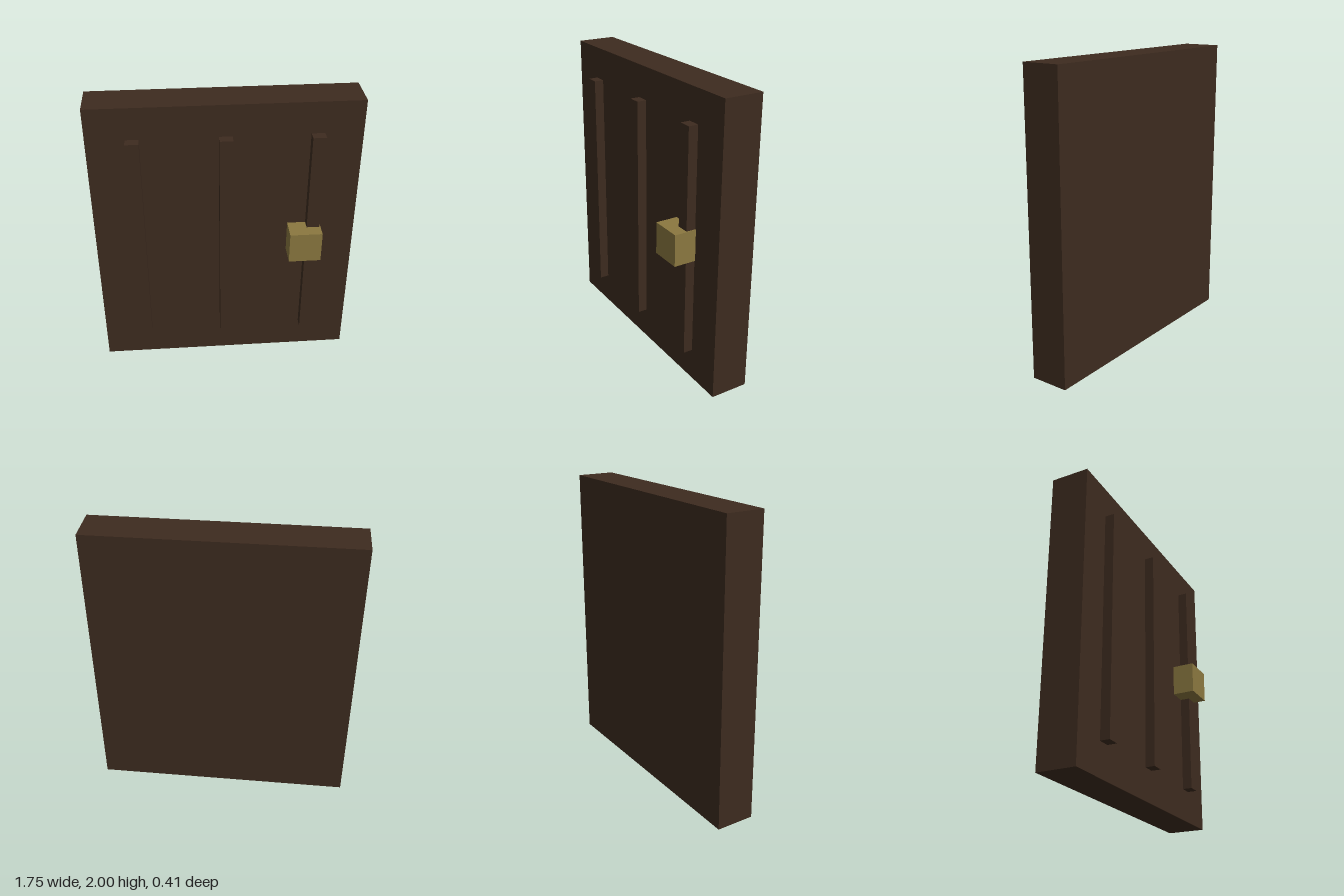
import * as THREE from 'three';

const darkWood = new THREE.MeshStandardMaterial({ color: 0x3d2b1f });
darkWood.name = 'dark wood';
const brass = new THREE.MeshStandardMaterial({ color: 0x8b7840 });
brass.name = 'dull brass';

// Box given by its size and centre
function box(name, material, size, centre) {
  const mesh = new THREE.Mesh(new THREE.BoxGeometry(...size), material);
  mesh.name = name;
  mesh.position.set(...centre);
  return mesh;
}

export function createModel() {
  const door = new THREE.Group();
  door.name = 'door';

  // Thick slab
  door.add(box('panel', darkWood, [1.754, 2, 0.262], [0, 1, -0.076]));

  // Three raised vertical slats on the front face
  for (const x of [-0.585, 0, 0.585]) {
    door.add(box('slat', darkWood, [0.087, 1.564, 0.065], [x, 1.002, 0.0875]));
  }

  // Square handle block over the left slat
  door.add(box('handle', brass, [0.217, 0.217, 0.152], [0.527, 1.002, 0.131]));

  return door;
}
